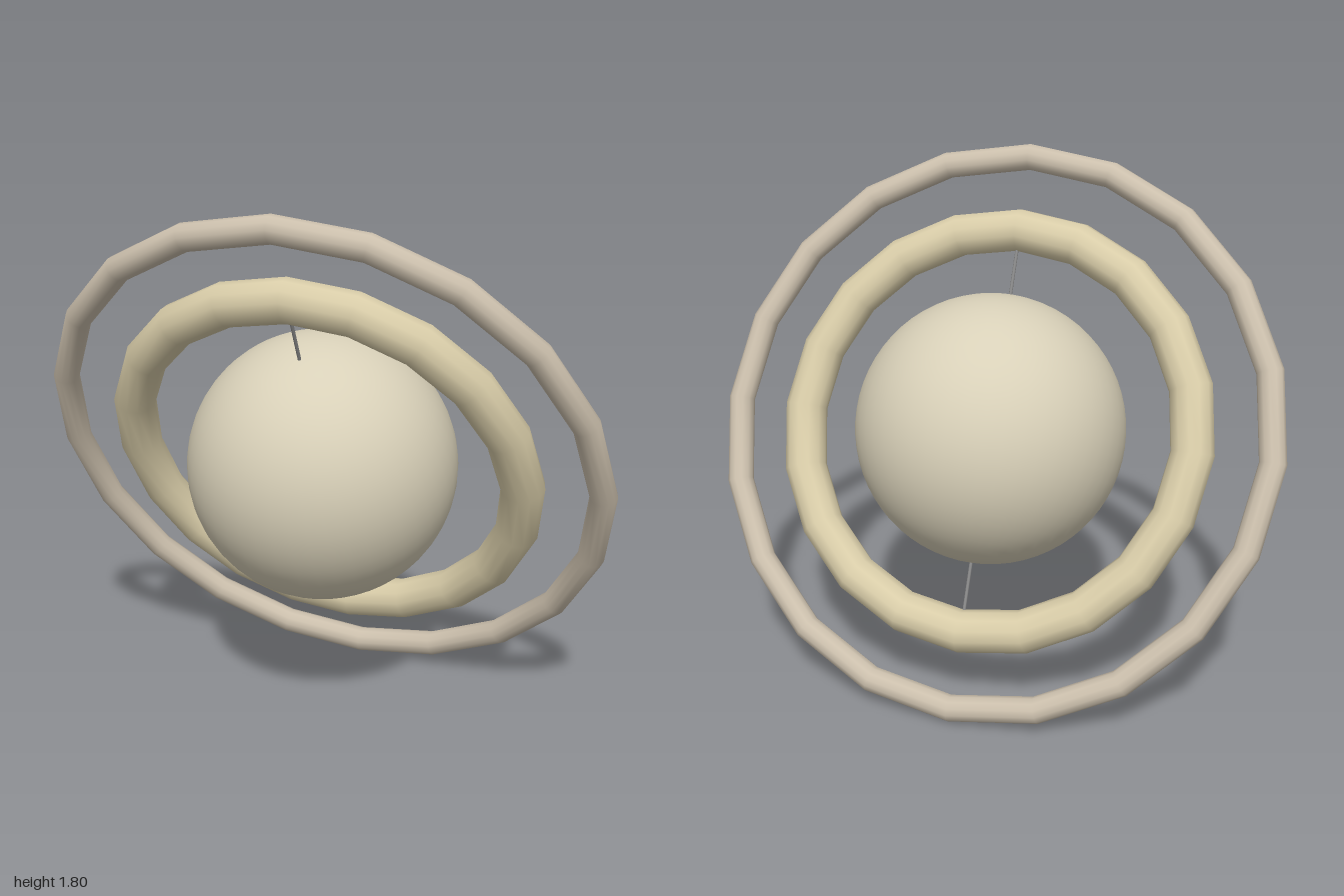
import * as THREE from 'three';

const TILT = THREE.MathUtils.degToRad(26.73);

function part(name, geometry, color) {
  const mesh = new THREE.Mesh(geometry, new THREE.MeshStandardMaterial({ color }));
  mesh.name = name;
  return mesh;
}

export function createModel() {
  const model = new THREE.Group();
  model.name = 'ringedPlanet';

  // Everything shares one centre; the ring plane leans its top towards the front
  const tilted = new THREE.Group();
  tilted.name = 'tiltedAssembly';
  tilted.position.y = 0.898;
  tilted.rotation.x = TILT;
  model.add(tilted);

  // Smooth planet globe
  tilted.add(part('globe', new THREE.SphereGeometry(0.462, 48, 32), 0xd8d0b8));

  // Two concentric rings with twenty straight segments each
  tilted.add(part('innerRing', new THREE.TorusGeometry(0.695, 0.073, 12, 20), 0xd8cca8));
  tilted.add(part('outerRing', new THREE.TorusGeometry(0.955, 0.045, 12, 20), 0xcbbfac));

  // Thin pins joining the globe to the inner ring, above and below
  for (const side of [1, -1]) {
    const pin = part(side > 0 ? 'upperPin' : 'lowerPin', new THREE.CylinderGeometry(0.006, 0.006, 0.26, 8), 0x888888);
    pin.position.y = side * 0.55;
    tilted.add(pin);
  }
  return model;
}
